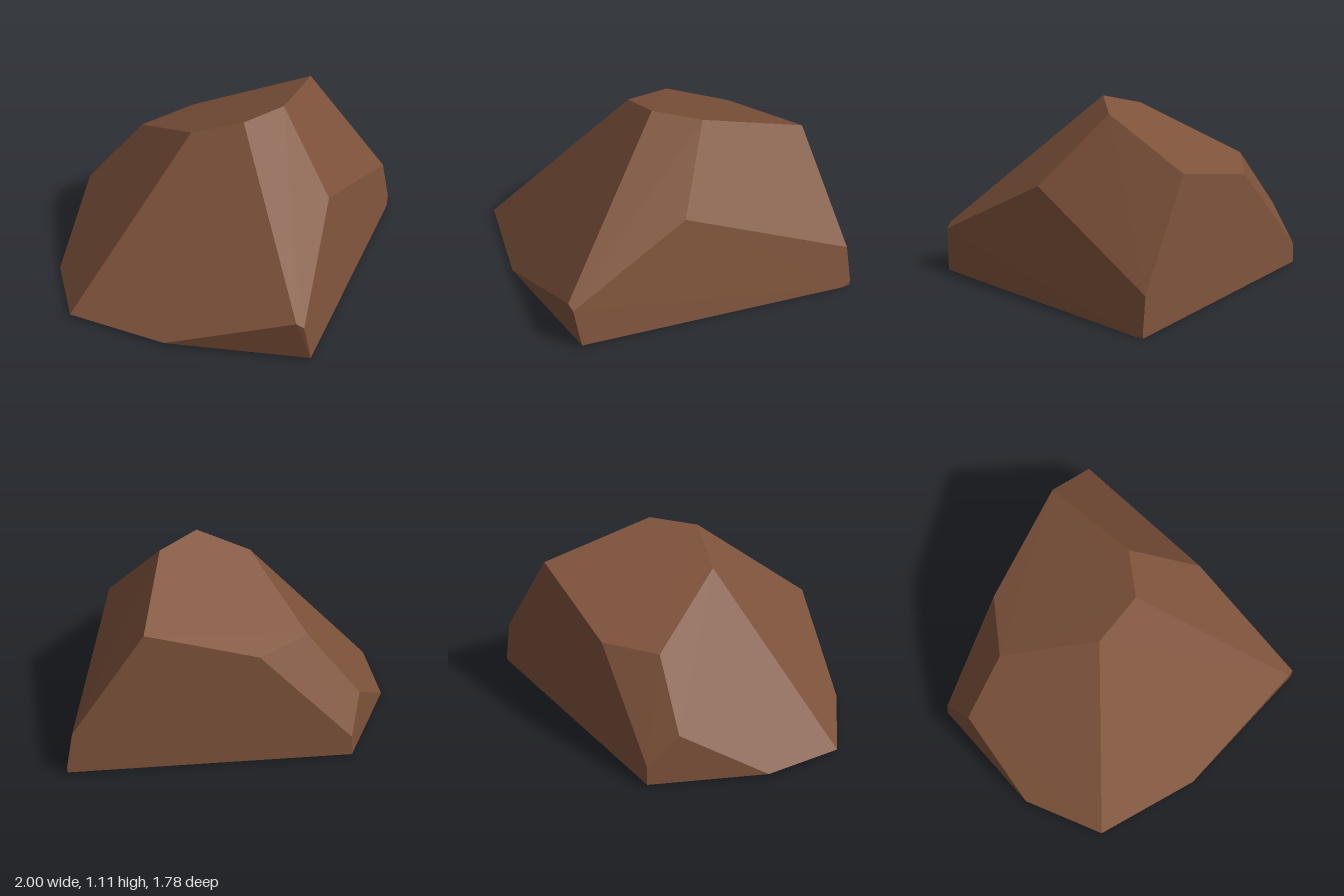
import * as THREE from 'three';
import { ConvexGeometry } from 'three/addons/geometries/ConvexGeometry.js';

// A faceted boulder: the convex hull of its corner points, grouped by height.
export function createModel() {
  const brown = new THREE.MeshStandardMaterial({ color: 0x80543c });
  brown.name = 'rock brown';

  const crown = [
    [0.05, 1.11, 0], [0.31, 1.093, -0.15], [-0.24, 0.995, -0.11],
    [0.56, 0.88, -0.725], [-0.11, 0.69, -0.82], [-0.44, 0.702, -0.65],
  ];
  const sides = [
    [0.515, 0.67, 0.21], [0.215, 0.28, 0.885], [0.26, 0.25, 0.89],
    [0.972, 0.25, -0.664], [-0.73, 0.32, -0.73], [-0.64, 0.125, -0.895],
  ];
  const base = [
    [1, 0.03, -0.66], [0.995, 0, -0.66], [0.985, 0.001, -0.61],
    [0.303, 0.016, 0.86], [-0.51, 0.019, 0.58], [-1, 0.02, 0.21],
    [-0.98, 0.018, -0.27], [-0.64, 0.01, -0.895],
  ];
  const points = [...crown, ...sides, ...base].map((p) => new THREE.Vector3(...p));

  const boulder = new THREE.Mesh(new ConvexGeometry(points), brown);
  boulder.name = 'boulder';
  const group = new THREE.Group();
  group.name = 'rock';
  group.add(boulder);
  return group;
}
